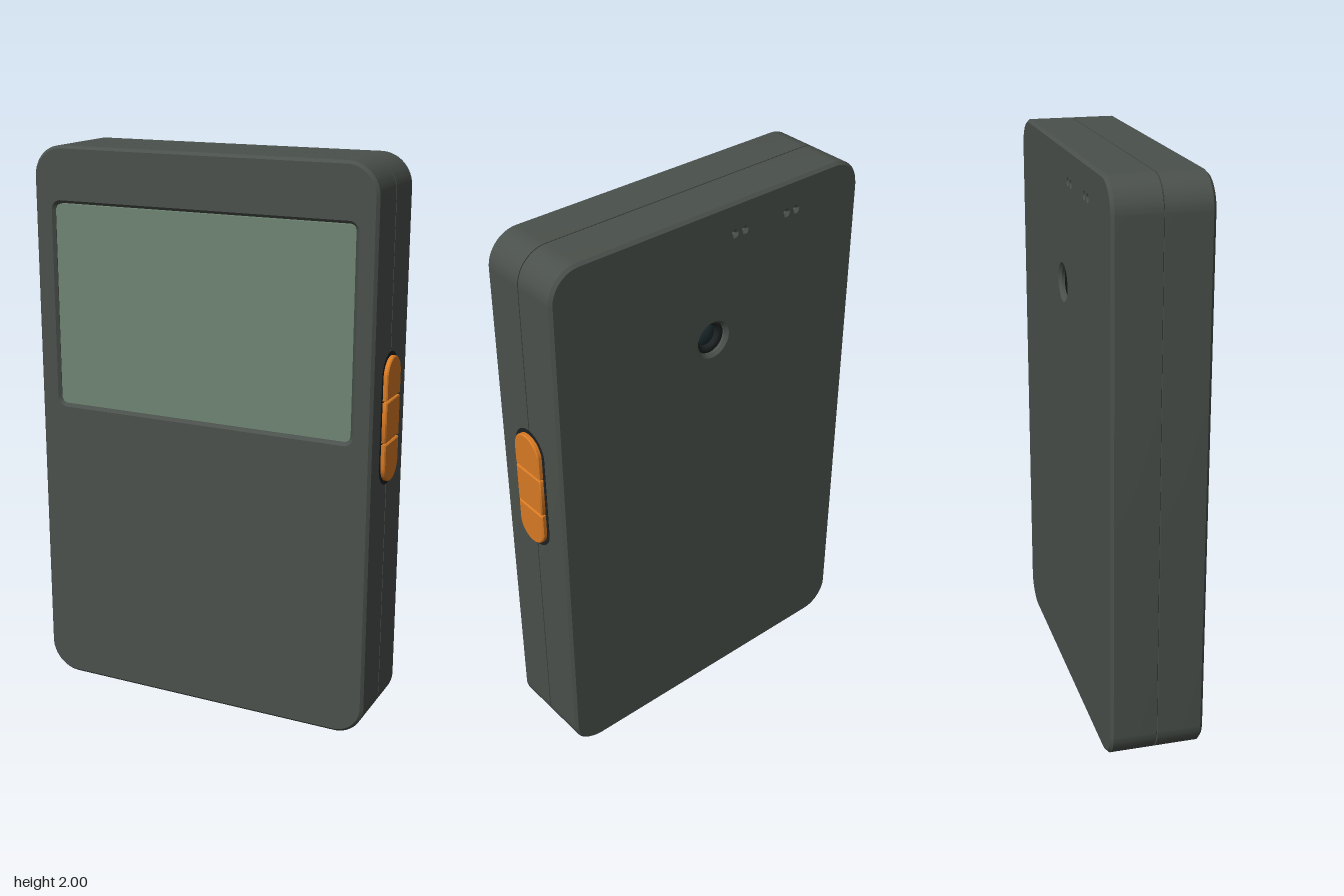
import * as THREE from 'three';
import { toCreasedNormals } from 'three/addons/utils/BufferGeometryUtils.js';

const paint = (color) => new THREE.MeshStandardMaterial({ color });
const shellMat = paint(0x4a504b), darkMat = paint(0x1c2021), screenMat = paint(0x6f8474);
const orangeMat = paint(0xd87a24), lensMat = paint(0x1f2f33), metalMat = paint(0x9a9e9e);

const CX = -0.01, CY = 1.004, W = 1.27, H = 1.992, HALF = 0.163, BEVEL = 0.01;
const SEAM = 0.002;

// Rounded rectangle centred on (cx, cy); Type is THREE.Shape or THREE.Path
function roundRect(Type, cx, cy, w, h, r) {
  const s = new Type(), x = w / 2 - r, y = h / 2 - r;
  s.absarc(cx + x, cy + y, r, 0, Math.PI / 2);
  s.absarc(cx - x, cy + y, r, Math.PI / 2, Math.PI);
  s.absarc(cx - x, cy - y, r, Math.PI, Math.PI * 1.5);
  s.absarc(cx + x, cy - y, r, Math.PI * 1.5, Math.PI * 2);
  s.closePath();
  return s;
}

function circle(x, y, r) {
  const p = new THREE.Path();
  p.absarc(x, y, r, 0, Math.PI * 2);
  return p;
}

// Extrusion from z = 0 to depth, chamfered on its outer end only
function extrude(shape, depth, bevel = 0) {
  const geo = new THREE.ExtrudeGeometry(shape, {
    depth: depth - bevel, curveSegments: 14, bevelEnabled: bevel > 0,
    bevelSize: bevel, bevelThickness: bevel, bevelOffset: -bevel, bevelSegments: 1,
  });
  const p = geo.attributes.position;
  for (let i = 0; i < p.count; i++) p.setZ(i, Math.max(0, p.getZ(i)));
  return toCreasedNormals(geo, 0.6);
}

export function createModel() {
  const model = new THREE.Group();
  const add = (name, geo, mat, parent = model) => {
    const mesh = new THREE.Mesh(geo, mat);
    mesh.name = name;
    parent.add(mesh);
    return mesh;
  };

  // Front shell with the screen window
  const front = roundRect(THREE.Shape, CX, CY, W, H, 0.11);
  front.holes.push(roundRect(THREE.Path, -0.008, 1.44, 1.12, 0.725, 0.025));
  add('frontShell', extrude(front, HALF - SEAM, BEVEL), shellMat).position.z = SEAM;

  // Back shell, turned round, with the camera opening and small holes
  const back = roundRect(THREE.Shape, -CX, CY, W, H, 0.11);
  back.holes.push(circle(0.01, 1.53, 0.058));
  for (const x of [0.095, 0.137, 0.318, 0.36]) back.holes.push(circle(x, 1.89, 0.005));
  const backShell = add('backShell', extrude(back, HALF - SEAM, BEVEL), shellMat);
  backShell.rotation.y = Math.PI;
  backShell.position.z = -SEAM;

  // Dark core seen through the seam and the openings
  const core = roundRect(THREE.Shape, CX, CY, W - 0.02, H - 0.02, 0.1);
  add('core', extrude(core, 0.23), darkMat).position.z = -0.115;

  // Screen, set slightly below the front face
  const screen = roundRect(THREE.Shape, -0.008, 1.44, 1.115, 0.72, 0.023);
  add('screen', extrude(screen, 0.05), screenMat).position.z = 0.105;

  // Camera: barrel ring and domed lens inside the back opening
  const camera = new THREE.Group();
  camera.name = 'camera';
  camera.position.set(-0.01, 1.53, -0.115);
  camera.rotation.x = -Math.PI / 2;
  model.add(camera);
  const barrel = [[0.042, 0], [0.042, 0.02], [0.058, 0.028], [0.058, 0]];
  add('cameraRing', new THREE.LatheGeometry(barrel.map(([x, y]) => new THREE.Vector2(x, y)).reverse(), 32),
    new THREE.MeshStandardMaterial({ color: 0x1c2021, side: THREE.DoubleSide }), camera);
  const lens = add('lens', new THREE.SphereGeometry(0.042, 24, 8, 0, Math.PI * 2, 0, Math.PI / 2), lensMat, camera);
  lens.scale.y = 0.4;

  // Side control: dark recess and a rounded button in three sections
  const side = new THREE.Group();
  side.name = 'sideControl';
  side.position.set(0.615, 1.133, 0.002);
  side.rotation.y = Math.PI / 2;
  model.add(side);
  add('buttonRecess', extrude(roundRect(THREE.Shape, 0, 0, 0.156, 0.464, 0.078), 0.0112), darkMat, side);
  const R = 0.066, TOP = 0.218, CUT = 0.073, GAP = 0.003;
  const end = new THREE.Shape();
  end.moveTo(-R, CUT + GAP);
  end.lineTo(R, CUT + GAP);
  end.absarc(0, TOP - R, R, 0, Math.PI);
  end.closePath();
  const endGeo = extrude(end, 0.027, 0.004);
  add('buttonUpper', endGeo, orangeMat, side);
  add('buttonLower', endGeo, orangeMat, side).rotation.z = Math.PI;
  add('buttonMiddle', extrude(roundRect(THREE.Shape, 0, 0, 2 * R, 2 * (CUT - GAP), 0.001), 0.027, 0.004),
    orangeMat, side);

  // Ports on the underside: each group faces down
  const port = (name, x) => {
    const g = new THREE.Group();
    g.name = name;
    g.position.set(x, 0.018, 0.04);
    g.rotation.x = Math.PI / 2;
    model.add(g);
    return g;
  };
  const jack = port('audioJack', 0.4);
  const ring = new THREE.Shape().absarc(0, 0, 0.05, 0, Math.PI * 2);
  ring.holes.push(circle(0, 0, 0.03));
  add('jackRing', extrude(ring, 0.018, 0.003), shellMat, jack);
  add('jackHole', extrude(new THREE.Shape().absarc(0, 0, 0.032, 0, Math.PI * 2), 0.011), darkMat, jack);

  const usb = port('chargingPort', -0.143);
  const frame = roundRect(THREE.Shape, 0, 0, 0.18, 0.066, 0.024);
  frame.holes.push(roundRect(THREE.Path, 0, 0, 0.156, 0.044, 0.016));
  add('portFrame', extrude(frame, 0.018), metalMat, usb);
  add('portInside', extrude(roundRect(THREE.Shape, 0, 0, 0.17, 0.056, 0.02), 0.011), darkMat, usb);
  add('portTongue', extrude(roundRect(THREE.Shape, 0, 0, 0.13, 0.024, 0.004), 0.016), metalMat, usb);

  return model;
}
